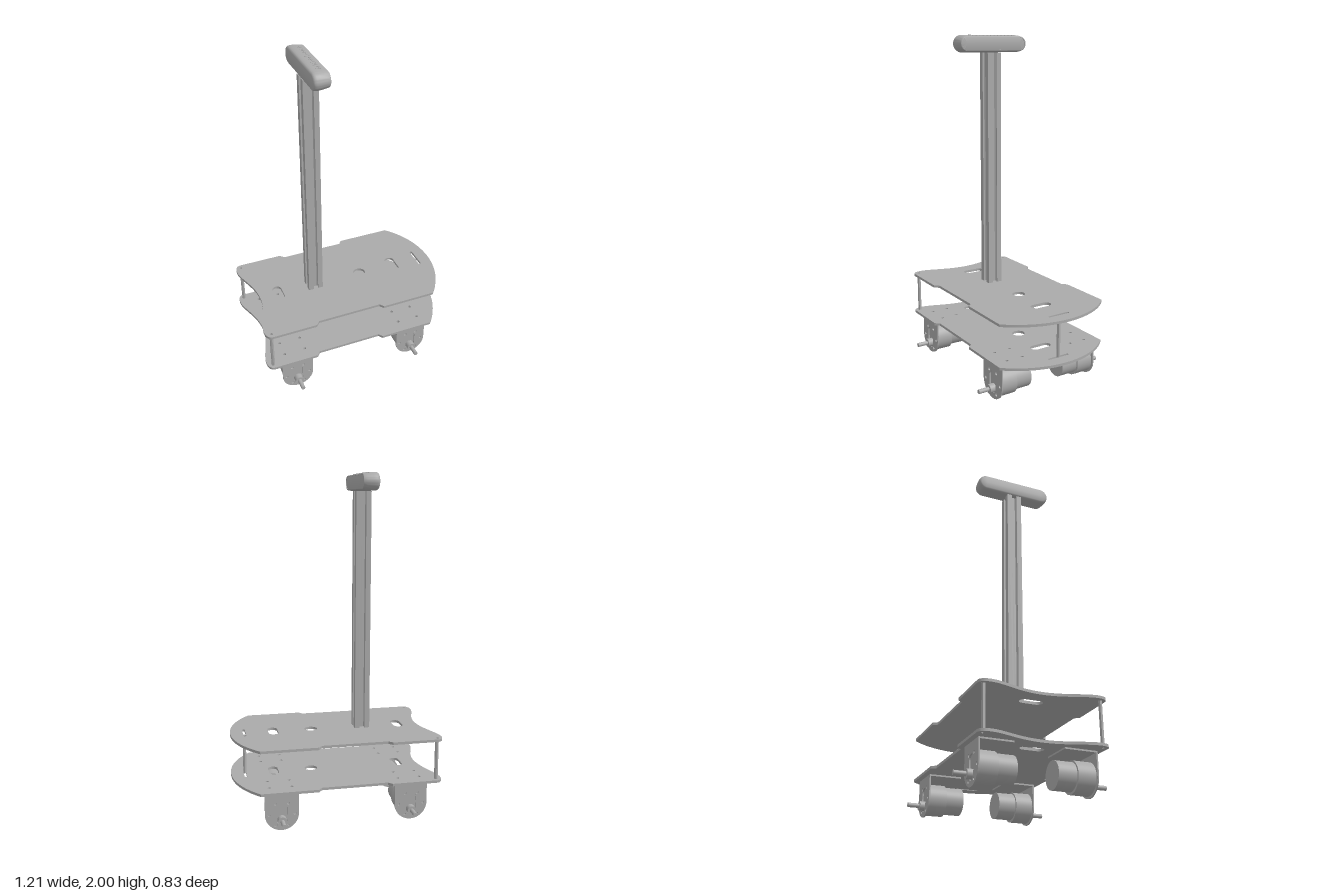
import * as THREE from 'three';
import { toCreasedNormals } from 'three/addons/utils/BufferGeometryUtils.js';

const grey = new THREE.MeshStandardMaterial({ color: 0xaaaaaa });
grey.name = 'grey';

function add(parent, name, geometry, x = 0, y = 0, z = 0) {
  const mesh = new THREE.Mesh(geometry, grey);
  mesh.name = name;
  mesh.position.set(x, y, z);
  parent.add(mesh);
  return mesh;
}

const extrude = (shape, depth) => toCreasedNormals(
  new THREE.ExtrudeGeometry(shape, { depth, bevelEnabled: false, curveSegments: 20 }), 0.5);

function roundHole(x, y, r) {
  return new THREE.Path().absarc(x, y, r, 0, Math.PI * 2, true);
}

// Upright slot with round ends; w and h are half sizes
function slotHole(x, y, w, h) {
  const p = new THREE.Path();
  p.absarc(x, y + h - w, w, 0, Math.PI, false);
  p.absarc(x, y - h + w, w, Math.PI, Math.PI * 2, false);
  p.closePath();
  return p;
}

// Deck outline: bowed front, waisted sides, scooped rear
function deck(extraHoles) {
  const s = new THREE.Shape();
  s.moveTo(0.465, -0.353);
  s.absarc(0.09, 0, 0.515, -0.755, 0.755, false);
  s.lineTo(0.135, 0.353);
  s.lineTo(0.115, 0.327);
  s.lineTo(-0.275, 0.327);
  s.lineTo(-0.298, 0.353);
  s.lineTo(-0.565, 0.353);
  s.bezierCurveTo(-0.6, 0.353, -0.613, 0.31, -0.6, 0.255);
  s.bezierCurveTo(-0.585, 0.19, -0.538, 0.11, -0.538, 0);
  s.bezierCurveTo(-0.538, -0.11, -0.585, -0.19, -0.6, -0.255);
  s.bezierCurveTo(-0.613, -0.31, -0.6, -0.353, -0.565, -0.353);
  s.lineTo(-0.298, -0.353);
  s.lineTo(-0.275, -0.327);
  s.lineTo(0.115, -0.327);
  s.lineTo(0.135, -0.353);
  s.closePath();
  s.holes.push(slotHole(-0.42, 0, 0.028, 0.066), slotHole(0.35, 0, 0.029, 0.066),
    slotHole(0.522, 0, 0.008, 0.07), roundHole(0.12, 0, 0.038),
    roundHole(-0.57, 0.325, 0.008), roundHole(-0.57, -0.325, 0.008), ...extraHoles);
  return extrude(s, 0.015).rotateX(-Math.PI / 2);
}

// Slotted square profile for the mast
function mastGeometry() {
  const quarter = [[0.045, -0.045], [0.045, -0.015], [0.037, -0.015], [0.037, -0.025],
    [0.03, -0.025], [0.019, -0.014], [0.019, 0.014], [0.03, 0.025], [0.037, 0.025],
    [0.037, 0.015], [0.045, 0.015]];
  const pts = [];
  for (let k = 0; k < 4; k++) {
    const c = Math.round(Math.cos(k * Math.PI / 2)), n = Math.round(Math.sin(k * Math.PI / 2));
    for (const [x, y] of quarter) pts.push(new THREE.Vector2(x * c - y * n, x * n + y * c));
  }
  const s = new THREE.Shape(pts);
  s.holes.push(roundHole(0, 0, 0.009));
  return extrude(s, 1.41).rotateX(-Math.PI / 2);
}

// Pill-shaped sensor body: loops along x, each given as [x, inset]
function headGeometry() {
  const loops = [[-0.237, 0.05], [-0.237, 0.013], [-0.234, 0.006], [-0.228, 0.002], [-0.218, 0],
    [-0.2, 0], [-0.165, 0.004], [-0.15, 0.007], [-0.145, 0.009], [-0.143, 0.012],
    [-0.143, 0.015], [-0.147, 0.015], [-0.147, 0.05]];
  const n = 40, pos = [], idx = [];
  loops.forEach(([x, inset], j) => {
    for (let i = 0; i < n; i++) {
      const a = ((i + 0.5) / n) * Math.PI * 2, r = 0.05 - inset;
      pos.push(x, 1.95 + r * Math.sin(a), Math.sign(Math.cos(a)) * 0.18 + r * Math.cos(a));
      if (j === loops.length - 1) continue;
      const p = j * n + i, q = j * n + (i + 1) % n;
      idx.push(p, p + n, q, q, p + n, q + n);
    }
  });
  const g = new THREE.BufferGeometry();
  g.setAttribute('position', new THREE.Float32BufferAttribute(pos, 3));
  g.setIndex(idx);
  return toCreasedNormals(g, 0.6);
}

// Motor with its angle bracket, shaft pointing to +z
function driveUnit() {
  const unit = new THREE.Group();
  const s = new THREE.Shape();
  s.moveTo(0.097, 0.225);
  s.lineTo(-0.097, 0.225);
  s.lineTo(-0.097, 0.1);
  s.absarc(0, 0.1, 0.0975, Math.PI, Math.PI * 2, false);
  s.closePath();
  s.holes.push(slotHole(0, 0.1, 0.031, 0.066));
  for (let k = 0; k < 6; k++) {
    const a = k * Math.PI / 3;
    s.holes.push(roundHole(0.074 * Math.cos(a), 0.1 + 0.074 * Math.sin(a), 0.009));
  }
  add(unit, 'bracketPlate', extrude(s, 0.008), 0, 0, 0.315);
  add(unit, 'bracketFlange', new THREE.BoxGeometry(0.194, 0.009, 0.183), 0, 0.2205, 0.2285);
  const barrel = (name, r, z0, z1, y) =>
    add(unit, name, new THREE.CylinderGeometry(r, r, z1 - z0, 40).rotateX(Math.PI / 2), 0, y, (z0 + z1) / 2);
  barrel('gearbox', 0.087, 0.213, 0.315, 0.1);
  barrel('motorCan', 0.076, 0.11, 0.213, 0.102);
  barrel('shaftBoss', 0.026, 0.315, 0.35, 0.064);
  barrel('shaft', 0.0125, 0.35, 0.415, 0.064);
  return unit;
}

export function createModel() {
  const model = new THREE.Group();
  const driveX = [-0.418, 0.345];

  // Decks, the lower one with bracket mounting holes
  const mounts = [];
  for (const x of driveX) for (const dx of [-0.065, 0.065]) for (const z of [0.17, 0.27])
    mounts.push(roundHole(x + dx, z, 0.009), roundHole(x + dx, -z, 0.009));
  add(model, 'lowerDeck', deck(mounts), 0, 0.225, 0);
  add(model, 'upperDeck', deck([]), 0, 0.475, 0);

  // Hexagonal standoffs between the decks
  for (const [x, z] of [[-0.57, 0.322], [-0.57, -0.322], [0.522, 0]]) {
    const post = add(model, 'standoff', new THREE.CylinderGeometry(0.011, 0.011, 0.236, 6), x, 0.357, z);
    post.material = grey;
    post.geometry = toCreasedNormals(post.geometry, 0.5);
  }

  // Four drive units
  for (const x of driveX) for (const side of [0, 1]) {
    const unit = driveUnit();
    unit.name = side ? 'rightDriveUnit' : 'leftDriveUnit';
    unit.position.x = x;
    unit.rotation.y = side * Math.PI;
    model.add(unit);
  }

  // Mast and sensor head
  add(model, 'mast', mastGeometry(), -0.19, 0.49, 0);
  add(model, 'sensorHead', headGeometry());
  for (let i = 0; i < 13; i++) for (const x of [-0.193, -0.177])
    add(model, 'ventRib', new THREE.BoxGeometry(0.011, 0.005, 0.014), x, 1.9975, (i - 6) * 0.0245);
  return model;
}
